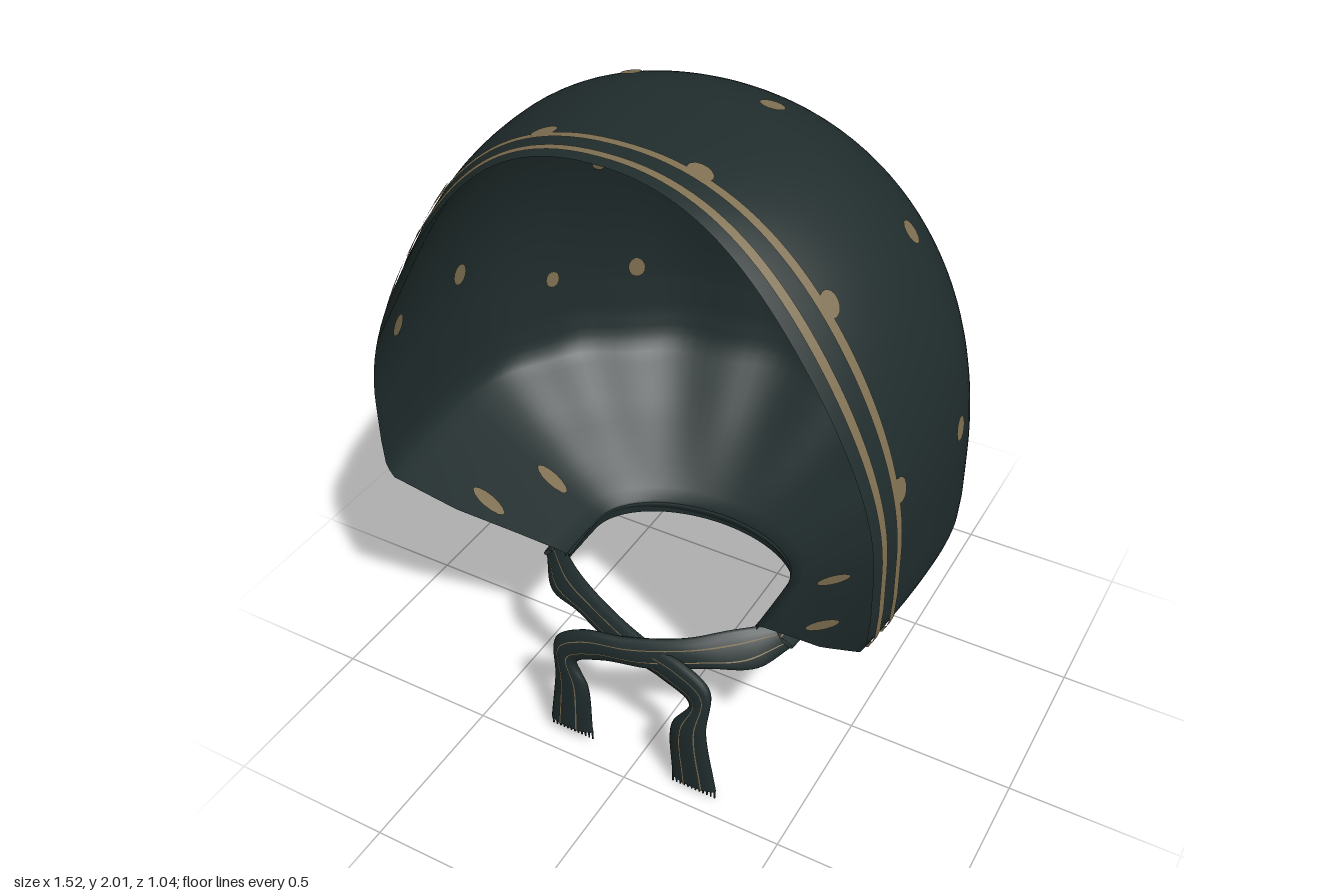
import * as THREE from 'three';
import { mergeVertices } from 'three/addons/utils/BufferGeometryUtils.js';

const cloth = new THREE.MeshStandardMaterial({ color: 0x202c2c, side: THREE.DoubleSide });
cloth.name = 'dark teal cloth';
const gold = new THREE.MeshStandardMaterial({ color: 0x7f7052, side: THREE.DoubleSide });
gold.name = 'dull gold print';

const ZM = 0.1;        // where the straight sides meet the rounded back
const BORDER = 0.115;  // depth of the striped border
const { lerp, smoothstep } = THREE.MathUtils;

// heights below the dome: y, half width, back depth, front edge z
const LOW = [
  [0.52, 0.32, 0.2, 0.28], [0.57, 0.31, 0.2, 0.28], [0.64, 0.43, 0.28, 0.34], [0.74, 0.58, 0.41, 0.43],
  [0.86, 0.737, 0.55, 0.51], [0.9, 0.753, 0.58, 0.515], [0.98, 0.758, 0.605, 0.515], [1.1, 0.757, 0.62, 0.515],
];

function section(y) {
  if (y >= 1.1) {
    const s = Math.min(1, (y - 1.1) / 0.9);
    return [0.757 * Math.pow(Math.max(0, 1 - Math.pow(s, 2.2)), 1 / 2.2), 0.62 * Math.sqrt(1 - s * s), 0.515];
  }
  let i = 0;
  while (i < LOW.length - 2 && y > LOW[i + 1][0]) i++;
  const t = (y - LOW[i][0]) / (LOW[i + 1][0] - LOW[i][0]);
  return [1, 2, 3].map((k) => lerp(LOW[i][k], LOW[i + 1][k], t));
}

// u: -1..1 round the back, 1..2 along the side, 2..3 across the border
function hood(u, y) {
  const [w, d, zf] = section(y);
  const a = Math.abs(u);
  if (a <= 1) {
    const ang = u * Math.PI / 2;
    const fade = smoothstep(y, 0.56, 0.8) * (1 - smoothstep(y, 0.9, 1.5));
    const fold = 1 + 0.016 * fade * Math.cos(ang * 14) * Math.cos(ang);
    return new THREE.Vector3(w * Math.sin(ang) * fold, y, ZM - d * Math.cos(ang) * fold);
  }
  const split = zf - BORDER;
  const z = a <= 2 ? lerp(ZM, split, a - 1) : split + (a - 2) * BORDER;
  // the opening is drawn in, most of all towards the crown
  const narrow = 0.045 + 0.17 * smoothstep(y, 1.1, 1.9);
  const x = w * (1 - narrow * ((z - ZM) / 0.415) ** 2);
  return new THREE.Vector3(Math.sign(u) * x, y, z);
}

function rowHeight(v) {
  return v < 0.4 ? 0.52 + 0.58 * v / 0.4 : 1.1 + 0.9 * Math.sin((v - 0.4) / 0.6 * Math.PI / 2);
}

// smooth surface from a function of two parameters in 0..1
function grid(fn, nu, nv) {
  const pos = [], idx = [];
  for (let j = 0; j <= nv; j++)
    for (let i = 0; i <= nu; i++) pos.push(...fn(i / nu, j / nv).toArray());
  for (let j = 0; j < nv; j++)
    for (let i = 0; i < nu; i++) {
      const a = j * (nu + 1) + i, b = a + 1, c = a + nu + 1, e = c + 1;
      idx.push(a, b, e, a, e, c);
    }
  let g = new THREE.BufferGeometry();
  g.setAttribute('position', new THREE.Float32BufferAttribute(pos, 3));
  g.setIndex(idx);
  g = mergeVertices(g, 1e-4);
  g.computeVertexNormals();
  return g;
}

function add(parent, name, geometry, material) {
  const m = new THREE.Mesh(geometry, material);
  m.name = name;
  parent.add(m);
  return m;
}

// padded strip between two edge curves, with two thin printed lines
function ribbon(parent, name, edgeA, edgeB, off, n) {
  const A = new THREE.CatmullRomCurve3(edgeA), B = new THREE.CatmullRomCurve3(edgeB);
  const at = (t, c, s) => {
    const a = A.getPoint(t), b = B.getPoint(t);
    return a.clone().add(b).multiplyScalar(0.5).addScaledVector(a.sub(b), c / 2).addScaledVector(off, s);
  };
  add(parent, name, grid((u, v) => at(v, Math.cos(u * 2 * Math.PI), Math.sin(u * 2 * Math.PI)), 16, n), cloth);
  for (const f of [-0.35, 0.45])
    add(parent, name + 'Line', grid((u, v) => at(v, f + (u - 0.5) * 0.07, Math.sqrt(1 - f * f) + 0.12), 1, n), gold);
}

function addDot(parent, x, y, z, size = 1, stretch = 1) {
  const target = new THREE.Vector3(x, y, z);
  let best = 0, dist = Infinity;
  for (let u = -3; u <= 3; u += 0.01) {
    const d = hood(u, y).distanceTo(target);
    if (d < dist) { dist = d; best = u; }
  }
  const p = hood(best, y), h = 0.008;
  const du = hood(best + h, y).sub(hood(best - h, y));
  const dv = hood(best, Math.min(2, y + h)).sub(hood(best, y - h));
  const n = du.cross(dv).normalize();
  // printed on both faces of the cloth
  for (const s of [-0.005, 0.005]) {
    const m = add(parent, 'dot', new THREE.CircleGeometry(1, 14), gold);
    m.scale.set(0.027 * size, 0.034 * size * stretch, 1);
    m.position.copy(p).addScaledVector(n, s);
    m.lookAt(m.position.clone().add(n));
  }
}

export function createModel() {
  const model = new THREE.Group();
  model.name = 'tiedBonnet';

  // hood shell
  add(model, 'hood', grid((u, v) => hood(-3 + 6 * u, rowHeight(v)), 180, 60), cloth);

  // two stripes on the outside of the front border
  const stripe = (u, y) => {
    const p = hood(u, y);
    return p.add(new THREE.Vector3(p.x, y - 1.2, 0).setLength(0.005));
  };
  for (const side of [-1, 1])
    for (const [from, to] of [[2, 2.2], [2.56, 2.76]])
      add(model, 'borderStripe', grid((u, v) => stripe(side * lerp(from, to, u), rowHeight(v)), 2, 60), gold);

  // printed dots: x, y, z, size, stretch
  const dots = new THREE.Group();
  dots.name = 'dots';
  model.add(dots);
  const spots = [
    [0.19, 1.76, -0.31, 0.93], [0.18, 1.31, -0.48, 1.08], [0.5, 1.52, -0.29, 0.85], [0.45, 1.13, -0.39, 0.95],
    [0.62, 1.12, -0.21, 0.8], [0.57, 1.74, 0.03, 0.95], [0.74, 1.27, 0.08], [0.19, 1.973, 0.03, 0.95],
    [0.45, 0.66, 0.11, 0.85, 2], [0.5, 0.71, 0.33, 0.85, 2],
    [0.19, 1.971, 0.393], [0.52, 1.73, 0.393], [0.72, 1.29, 0.393],
  ];
  for (const side of [-1, 1])
    for (const [x, ...rest] of spots) addDot(dots, side * x, ...rest);

  // band round the neck, flaring downward
  const arc = (rx, rz, y, zEnd) => {
    const pts = [];
    for (let i = 0; i <= 16; i++) {
      const a = (i / 16 - 0.5) * Math.PI;
      pts.push(new THREE.Vector3(rx * Math.sin(a), y, ZM - rz * Math.cos(a)));
    }
    pts.unshift(new THREE.Vector3(-rx * 0.97, y, zEnd));
    pts.push(new THREE.Vector3(rx * 0.97, y, zEnd));
    return pts;
  };
  ribbon(model, 'neckBand', arc(0.31, 0.19, 0.555, 0.27), arc(0.42, 0.235, 0.503, 0.25), new THREE.Vector3(0, 0.014, 0), 60);

  // crossed ties with hanging, fringed tails
  const upper = [[0.35, 0.56, 0.24], [0.25, 0.55, 0.31], [0.13, 0.52, 0.38], [-0.03, 0.49, 0.425],
    [-0.16, 0.47, 0.44], [-0.243, 0.41, 0.445], [-0.255, 0.26, 0.445], [-0.285, 0.06, 0.44]];
  const lower = [[0.4, 0.495, 0.24], [0.335, 0.452, 0.32], [0.22, 0.45, 0.38], [0.07, 0.415, 0.425],
    [-0.09, 0.385, 0.44], [-0.18, 0.335, 0.445], [-0.145, 0.25, 0.445], [-0.14, 0.06, 0.44]];
  for (const side of [1, -1]) {
    const drop = side > 0 ? 0 : 0.03;
    const back = side > 0 ? 0 : 0.02;
    const shift = side > 0 ? 0 : 0.012;
    const place = (list) => list.map(([x, y, z], i) => new THREE.Vector3(
      side * (x + (i > 5 ? shift : 0)), y - (i === 7 ? drop : 0), z - (i > 1 && i < 6 ? back : 0)));
    const tie = new THREE.Group();
    tie.name = side > 0 ? 'frontTie' : 'rearTie';
    model.add(tie);
    ribbon(tie, 'tie', place(upper), place(lower), new THREE.Vector3(0, 0, 0.019), 50);
    for (let i = 0; i < 12; i++) {
      const strand = add(tie, 'fringe', new THREE.BoxGeometry(0.004, 0.035, 0.004), cloth);
      strand.position.set(side * (-0.28 + shift + i * 0.0125), 0.0475 - drop, 0.44);
    }
  }
  return model;
}
